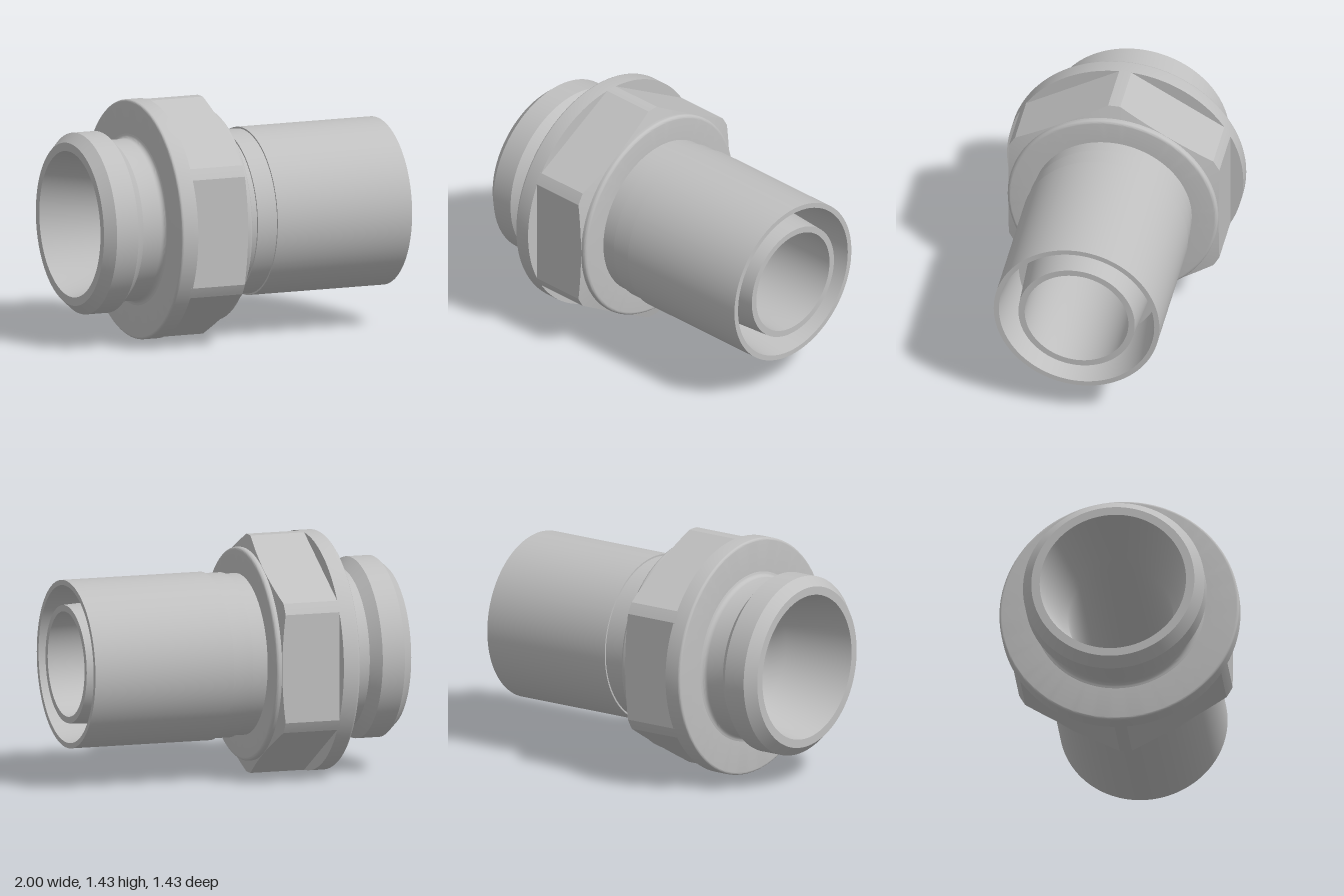
import * as THREE from 'three';
import { toCreasedNormals } from 'three/addons/utils/BufferGeometryUtils.js';

const steel = new THREE.MeshStandardMaterial({ color: 0xc0c0c0 });
steel.name = 'steel grey';

const AXIS_Y = 0.713;   // height of the pipe axis
const R = 0.713;        // collar and hex corner radius
const FLAT = 0.635;     // hex centre to flat

// Revolves a profile of [x, radius] pairs about the x axis
function turned(name, profile) {
  const pts = profile.map(([x, r]) => new THREE.Vector2(r, x));
  const geo = new THREE.LatheGeometry(pts, 128);
  geo.rotateZ(-Math.PI / 2);
  const mesh = new THREE.Mesh(toCreasedNormals(geo, 0.45), steel);
  mesh.name = name;
  return mesh;
}

// Rounded corner points around centre (cx, cr), angles in degrees from +x
function fillet(cx, cr, radius, from, to, n = 5) {
  return Array.from({ length: n + 1 }, (_, i) => {
    const a = THREE.MathUtils.degToRad(from + (to - from) * i / n);
    return [cx + radius * Math.cos(a), cr + radius * Math.sin(a)];
  });
}

// Hexagon with corners turned to radius R and a conical chamfer at the right end
function hexNut() {
  const edge = Math.acos(FLAT / R);
  const band = Math.PI / 3 - 2 * edge;
  const angles = [];
  for (let s = 0; s < 6; s++) {
    const mid = s * Math.PI / 3;
    for (let i = 0; i < 20; i++) angles.push(mid - edge + 2 * edge * i / 20);
    for (let i = 0; i < 4; i++) angles.push(mid + edge + band * i / 4);
  }
  const radius = (a) => {
    const sector = Math.PI / 3;
    const off = a - Math.round(a / sector) * sector;
    return Math.min(R, FLAT / Math.cos(off));
  };
  const rings = [
    (a) => [-0.5, radius(a)],
    (a) => [-0.13 - (radius(a) - FLAT) * 0.27, radius(a)],
    () => [-0.129, FLAT - 0.004],
    () => [-0.129, 0.46],
  ];
  const pos = [], index = [], n = angles.length;
  for (const ring of rings) {
    for (const a of angles) {
      const [x, r] = ring(a);
      pos.push(x, r * Math.sin(a), r * Math.cos(a));
    }
  }
  for (let k = 0; k < rings.length - 1; k++) {
    for (let i = 0; i < n; i++) {
      const j = (i + 1) % n;
      const a = k * n + i, d = k * n + j, b = a + n, c = d + n;
      index.push(a, b, c, a, c, d);
    }
  }
  const geo = new THREE.BufferGeometry();
  geo.setAttribute('position', new THREE.Float32BufferAttribute(pos, 3));
  geo.setIndex(index);
  const mesh = new THREE.Mesh(toCreasedNormals(geo, 0.2), steel);
  mesh.name = 'hexNut';
  return mesh;
}

export function createModel() {
  const group = new THREE.Group();
  group.name = 'pipeFitting';

  // Hollow body: grooved left end, stepped sleeve, annular slot and bore
  const body = turned('body', [
    [-1, 0.435], [-1, 0.485], [-0.94, 0.54], [-0.8, 0.54], [-0.74, 0.48],
    ...fillet(-0.625, 0.51, 0.03, -90, 0),
    [-0.58, 0.54], [-0.58, 0.48],
    [0, 0.48], [0, 0.49], [0.125, 0.49], [0.125, 0.5],
    [1, 0.5], [1, 0.469], [0.6, 0.426], [0.6, 0.376],
    [1, 0.351], [1, 0.313],
    [-0.5, 0.313], [-0.58, 0.346], [-1, 0.435],
  ]);

  // Round flange behind the hexagon
  const collar = turned('collar', [
    [-0.595, 0.45],
    ...fillet(-0.58, R - 0.015, 0.015, 180, 90),
    [-0.49, R], [-0.49, 0.45],
  ]);

  // Round shoulder in front of the hexagon
  const shoulder = turned('shoulder', [
    [-0.14, 0.45], [-0.14, FLAT - 0.002],
    ...fillet(-0.115, FLAT - 0.02, 0.02, 90, 0),
    [-0.095, 0.45],
  ]);

  group.add(body, collar, hexNut(), shoulder);
  for (const part of group.children) part.position.y = AXIS_Y;
  return group;
}
